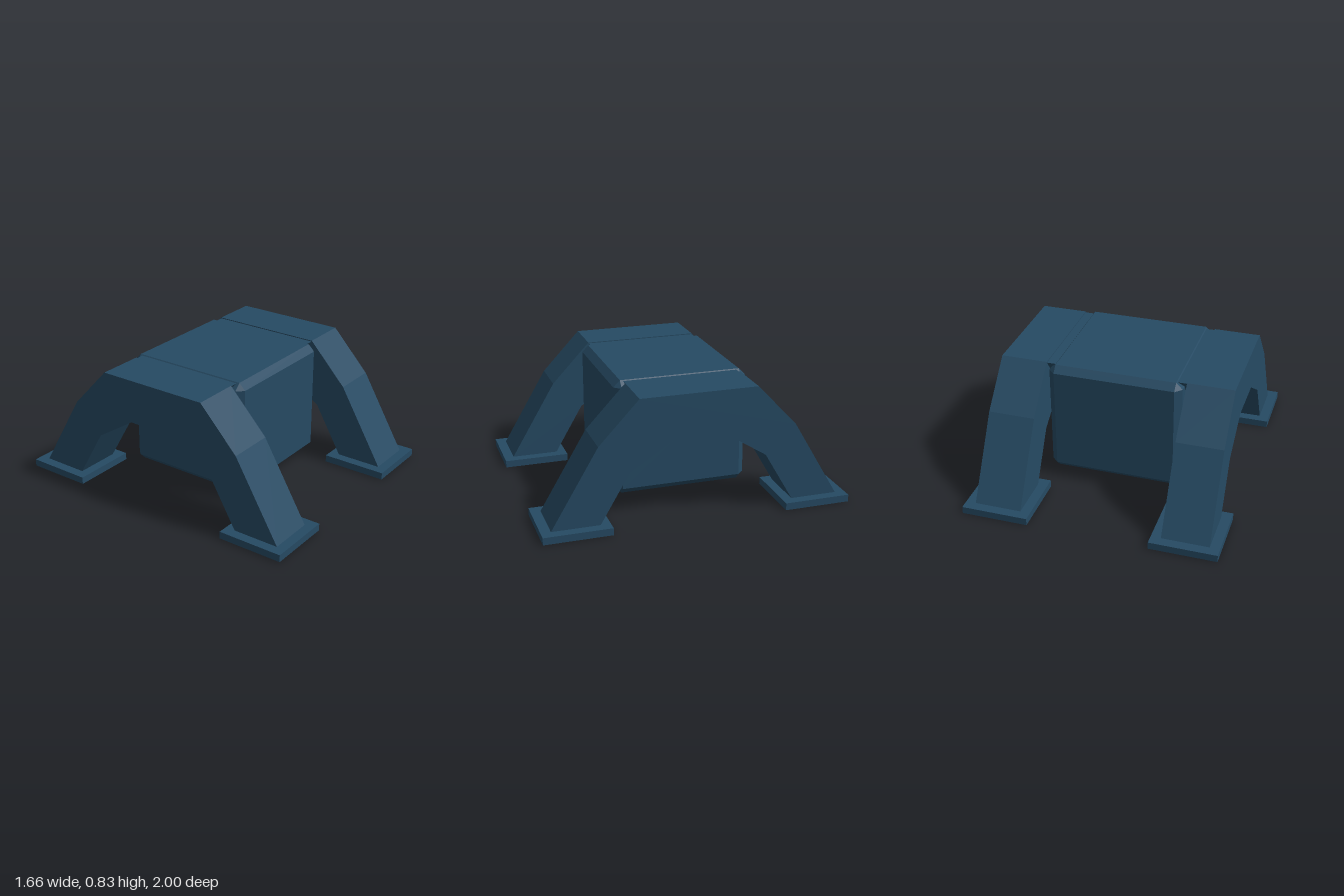
import * as THREE from 'three';
import { ConvexGeometry } from 'three/addons/geometries/ConvexGeometry.js';

// Box with every edge and corner chamfered, from half sizes
function chamferedBox(hx, hy, hz, c) {
  const points = [];
  for (const sx of [-1, 1]) for (const sy of [-1, 1]) for (const sz of [-1, 1]) {
    points.push(
      new THREE.Vector3(sx * hx, sy * (hy - c), sz * (hz - c)),
      new THREE.Vector3(sx * (hx - c), sy * hy, sz * (hz - c)),
      new THREE.Vector3(sx * (hx - c), sy * (hy - c), sz * hz)
    );
  }
  return new ConvexGeometry(points);
}

// Extrudes a [z, y] outline across x, between x0 and x1
function sideExtrude(outline, x0, x1) {
  const shape = new THREE.Shape(outline.map(([z, y]) => new THREE.Vector2(z, y)));
  const geometry = new THREE.ExtrudeGeometry(shape, { depth: x1 - x0, bevelEnabled: false });
  geometry.translate(0, 0, -(x1 - x0) / 2);
  geometry.rotateY(-Math.PI / 2);
  geometry.translate((x0 + x1) / 2, 0, 0);
  return geometry;
}

// Completes a half outline with its mirror image in z
const mirrored = (half) => [...half, ...half.map(([z, y]) => [-z, y]).reverse()];

export function createModel() {
  const model = new THREE.Group();
  model.name = 'walker';
  const navy = new THREE.MeshStandardMaterial({ color: 0x264a63, flatShading: true });
  navy.name = 'navyBlue';

  const add = (name, geometry, x = 0, y = 0, z = 0) => {
    const mesh = new THREE.Mesh(geometry, navy);
    mesh.name = name;
    mesh.position.set(x, y, z);
    model.add(mesh);
  };

  // Body
  add('body', chamferedBox(0.438, 0.38, 0.437, 0.043), 0, 0.448, 0);

  // Bent leg pairs: inner edge of the arch, then outer edge back over the top
  const inner = [[-0.17, 0.542], [-0.44, 0.37], [-0.633, 0.04]];
  const outer = [[-0.94, 0.04], [-0.635, 0.555], [-0.378, 0.828]];
  const arch = mirrored([...inner, ...outer]);
  const hip = mirrored([[-0.17, 0.542], [-0.376, 0.822]]);

  for (const side of [-1, 1]) {
    const label = side > 0 ? 'left' : 'right';
    const span = (a, b) => (side > 0 ? [a, b] : [-b, -a]);
    add(label + 'LegArch', sideExtrude(arch, ...span(0.46, 0.765)));

    // Hip joining the arch to the body
    add(label + 'Hip', sideExtrude(hip, ...span(0.4, 0.465)));

    // Foot plates
    for (const end of [-1, 1]) {
      add(label + (end > 0 ? 'FrontFoot' : 'BackFoot'),
        new THREE.BoxGeometry(0.435, 0.047, 0.435), side * 0.6125, 0.0235, end * 0.7825);
    }
  }
  return model;
}
